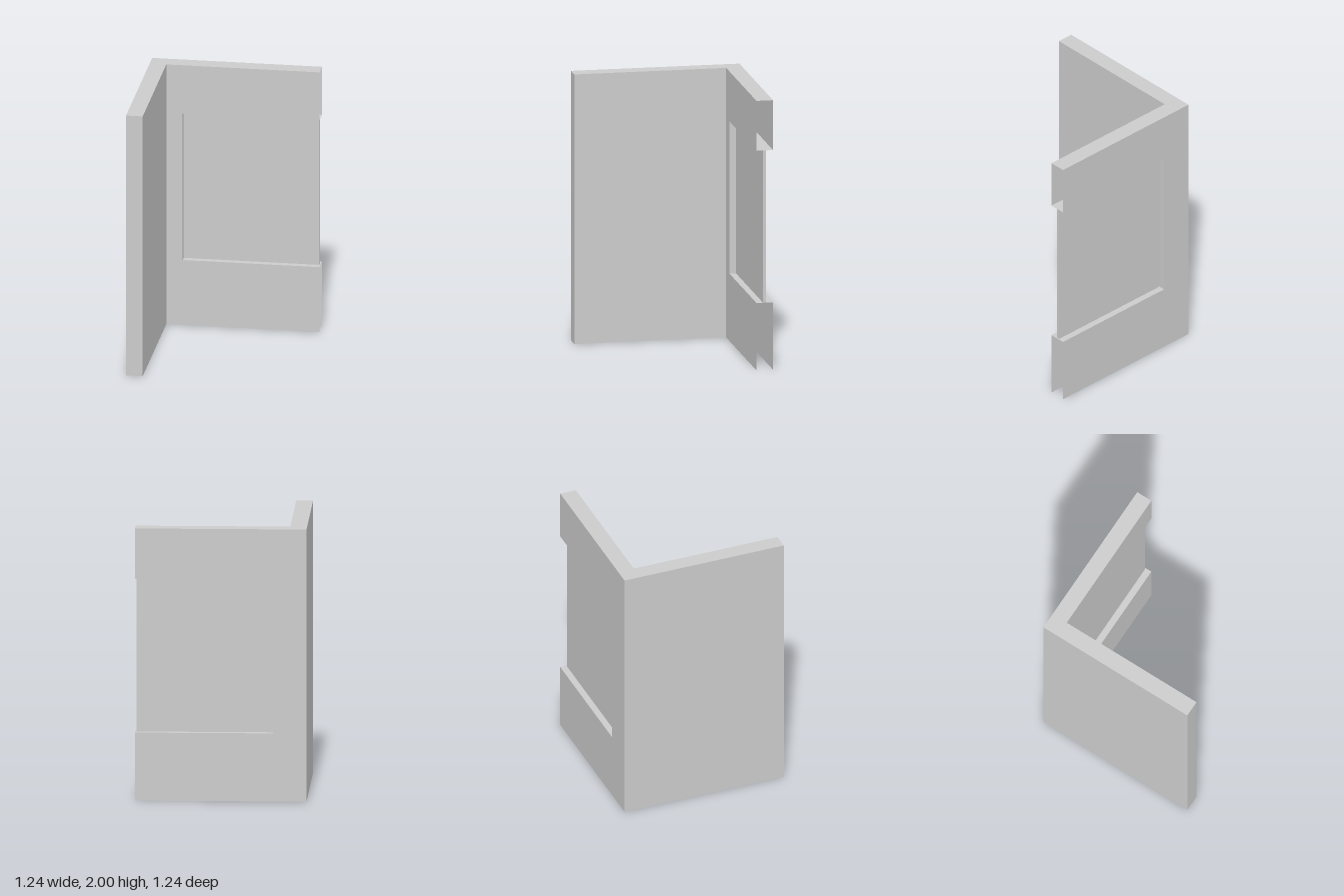
import * as THREE from 'three';

const H = 2, E = 0.622, I = -0.5;            // height, outer half-size, inner wall faces
const JAMB = -0.38, SILL = 0.5, HEAD = 1.63; // window opening, open on its +x side

const material = new THREE.MeshStandardMaterial({
  color: 0xcccccc, flatShading: true, side: THREE.DoubleSide,
});

function shapeOf(points) {
  return new THREE.ShapeGeometry(new THREE.Shape(points.map(([x, y]) => new THREE.Vector2(x, y))));
}

export function createModel() {
  const group = new THREE.Group();
  const add = (name, geometry) => {
    const mesh = new THREE.Mesh(geometry, material);
    mesh.name = name;
    group.add(mesh);
  };

  // Flat sheets: upright along z, upright along x, and level
  const sheetZ = (name, x, z0, z1, y0, y1) => add(name,
    new THREE.PlaneGeometry(z1 - z0, y1 - y0).rotateY(x < I ? -Math.PI / 2 : Math.PI / 2)
      .translate(x, (y0 + y1) / 2, (z0 + z1) / 2));
  const sheetX = (name, z, x0, x1, y0, y1) => add(name,
    new THREE.PlaneGeometry(x1 - x0, y1 - y0).translate((x0 + x1) / 2, (y0 + y1) / 2, z));
  const level = (name, y, x0, x1, z0, z1, up) => add(name,
    new THREE.PlaneGeometry(x1 - x0, z1 - z0).rotateX(up ? -Math.PI / 2 : Math.PI / 2)
      .translate((x0 + x1) / 2, y, (z0 + z1) / 2));

  // Side wall: hollow, open underneath
  sheetZ('sideWallOuterFace', -E, -E, E, 0, H);
  sheetZ('sideWallInnerFace', I, I, E, 0, H);
  sheetX('sideWallEnd', E, -E, I, 0, H);

  // Back wall: two notched faces, open underneath and at the +x end
  const notched = (x0) => [
    [x0, 0], [E, 0], [E, SILL], [JAMB, SILL], [JAMB, HEAD], [E, HEAD], [E, H], [x0, H],
  ];
  add('backWallInnerFace', shapeOf(notched(I)).translate(0, 0, I));
  add('backWallOuterFace',
    shapeOf(notched(-E).map(([x, y]) => [-x, y])).rotateY(Math.PI).translate(0, 0, -E));

  // L-shaped top of both walls
  add('wallTop', shapeOf([[-E, -E], [I, -E], [I, -I], [E, -I], [E, E], [-E, E]])
    .rotateX(-Math.PI / 2).translate(0, H, 0));

  // Window reveals
  level('windowSill', SILL, JAMB, E, -E, I, true);
  level('windowHead', HEAD, JAMB, E, -E, I, false);
  sheetZ('windowJamb', JAMB, -E, I, SILL, HEAD);

  // Thin pane set midway in the wall
  const paneEnd = 0.614;
  add('windowPane', new THREE.BoxGeometry(paneEnd - JAMB, HEAD - SILL, 0.025)
    .translate((paneEnd + JAMB) / 2, (SILL + HEAD) / 2, (I - E) / 2));

  return group;
}
